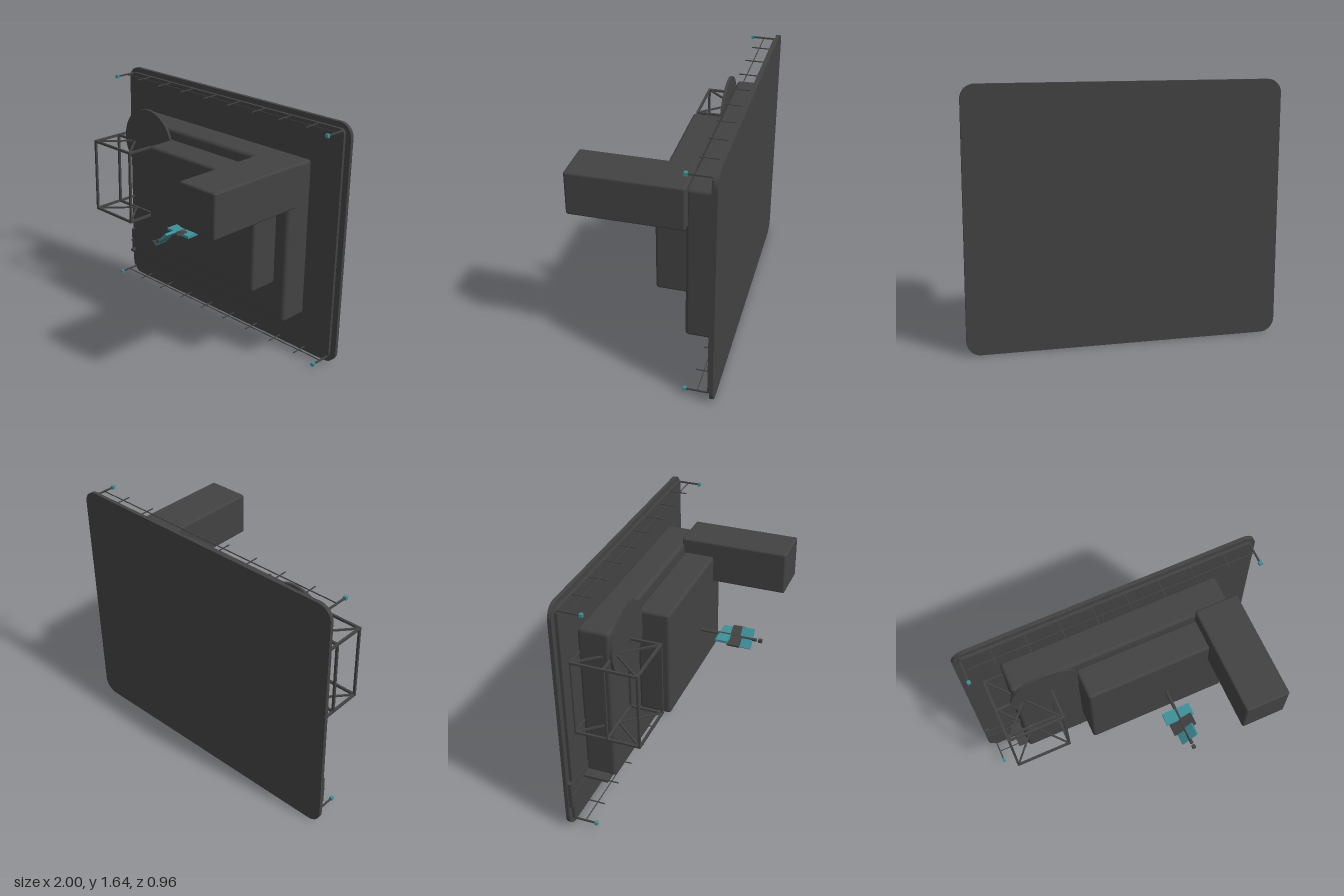
import * as THREE from 'three';
import { RoundedBoxGeometry } from 'three/addons/geometries/RoundedBoxGeometry.js';

export function createModel() {
  const root = new THREE.Group();
  root.name = 'wallPanel';

  const hull = new THREE.MeshStandardMaterial({ color: 0x424242 });
  hull.name = 'dark grey';
  const teal = new THREE.MeshStandardMaterial({ color: 0x3d8f99 });
  teal.name = 'teal';

  const add = (name, geometry, material, x = 0, y = 0, z = 0, parent = root) => {
    const mesh = new THREE.Mesh(geometry, material);
    mesh.name = name;
    mesh.position.set(x, y, z);
    parent.add(mesh);
    return mesh;
  };

  // Box given by its limits, optionally with rounded edges
  const block = (name, [x0, x1], [y0, y1], [z0, z1], radius = 0, material = hull, parent = root) => {
    const s = [x1 - x0, y1 - y0, z1 - z0];
    const g = radius ? new RoundedBoxGeometry(...s, 3, radius) : new THREE.BoxGeometry(...s);
    return add(name, g, material, (x0 + x1) / 2, (y0 + y1) / 2, (z0 + z1) / 2, parent);
  };

  // Square bar between two points
  const bar = (name, a, b, t, parent = root) => {
    const p = new THREE.Vector3(...a), q = new THREE.Vector3(...b);
    const m = add(name, new THREE.BoxGeometry(t, t, p.distanceTo(q) + t), hull, 0, 0, 0, parent);
    m.position.copy(p).add(q).multiplyScalar(0.5);
    m.lookAt(q);
    return m;
  };

  // Plate with rounded corners in the x-y plane
  const plate = (name, w, y0, y1, r, z0, z1) => {
    const s = new THREE.Shape();
    s.moveTo(-w + r, y0);
    s.lineTo(w - r, y0);
    s.absarc(w - r, y0 + r, r, -Math.PI / 2, 0);
    s.absarc(w - r, y1 - r, r, 0, Math.PI / 2);
    s.absarc(-w + r, y1 - r, r, Math.PI / 2, Math.PI);
    s.absarc(-w + r, y0 + r, r, Math.PI, Math.PI * 1.5);
    const g = new THREE.ExtrudeGeometry(s, { depth: z1 - z0, bevelEnabled: false, curveSegments: 8 });
    return add(name, g, hull, 0, 0, z0);
  };

  // Backing board and the raised face on it
  plate('backBoard', 1, 0, 1.645, 0.09, -0.48, -0.456);
  plate('raisedFace', 0.96, 0.04, 1.61, 0.03, -0.457, -0.437);

  // Stacked blocks
  block('baseBlock', [-0.74, 0.73], [0.285, 1.365], [-0.445, -0.235], 0.025);
  block('middleBlock', [-0.32, 0.64], [0.548, 1.295], [-0.24, -0.025], 0.02);
  block('projectingBeam', [0.5, 0.79], [1.11, 1.4], [-0.25, 0.48], 0.014);

  // Side details
  block('shelf', [-0.81, -0.32], [0.283, 0.3], [-0.44, -0.265]);
  block('lowerPlate', [-0.99, -0.18], [0.165, 0.36], [-0.456, -0.432]);
  block('lowerPlateStrip', [-0.99, -0.18], [0.258, 0.27], [-0.433, -0.426]);

  // Round dish
  const disc = add('disc', new THREE.CylinderGeometry(0.234, 0.234, 0.018, 48), hull, -0.535, 1.226, -0.214);
  disc.rotation.x = Math.PI / 2;

  // Open cage: three frames joined by rails and crossed braces
  const cage = new THREE.Group();
  cage.name = 'cage';
  root.add(cage);
  const [cx0, cx1, cy0, cy1, cz0, cz1] = [-0.867, -0.502, 0.69, 1.2, -0.435, -0.008];
  for (const z of [cz0, (cz0 + cz1) / 2, cz1]) {
    for (const x of [cx0, cx1]) bar('cagePost', [x, cy0, z], [x, cy1, z], 0.015, cage);
    for (const y of [cy0, cy1]) bar('cageCrossbar', [cx0, y, z], [cx1, y, z], 0.015, cage);
  }
  for (const y of [cy0, cy1]) {
    for (const x of [cx0, cx1]) bar('cageRail', [x, y, cz0], [x, y, cz1], 0.015, cage);
    bar('cageBrace', [cx0, y, cz0], [cx1, y, cz1], 0.011, cage);
    bar('cageBrace', [cx1, y, cz0], [cx0, y, cz1], 0.011, cage);
  }

  // Rails along the top and bottom edges, with pegs and lit corner posts
  for (const y of [0.052, 1.602]) {
    const inward = y < 1 ? -0.004 : 0.004;
    bar('edgeRail', [-0.95, y + inward, -0.37], [0.95, y + inward, -0.37], 0.005);
    for (const side of [-1, 1]) {
      bar('cornerPost', [side * 0.95, y, -0.437], [side * 0.95, y, -0.3], 0.01);
      add('cornerLamp', new THREE.BoxGeometry(0.022, 0.022, 0.02), teal, side * 0.95, y, -0.292);
      for (let i = 0; i < 4; i++) {
        const x = side * (0.109 + 0.218 * i);
        bar('railPeg', [x, y + inward, -0.437], [x, y + inward, -0.322], 0.006);
      }
    }
  }

  // Floating spindle with a twisted stack of blades
  const spindle = new THREE.Group();
  spindle.name = 'spindle';
  spindle.position.set(0.207, 0.896, 0);
  root.add(spindle);
  const shaft = add('shaft', new THREE.CylinderGeometry(0.011, 0.011, 0.395, 12), hull, 0, 0, 0.19, spindle);
  shaft.rotation.x = Math.PI / 2;
  block('shaftTip', [-0.011, 0.011], [-0.011, 0.011], [0.4, 0.424], 0, hull, spindle);
  [[0.192, 0, 0.17, teal], [0.162, 0.42, 0.245, hull], [0.138, 0.8, 0.317, teal]].forEach(([w, angle, z, mat]) => {
    const blade = add('blade', new THREE.BoxGeometry(w, 0.016, 0.083), mat, 0, 0, z, spindle);
    blade.rotation.z = angle;
  });

  return root;
}
